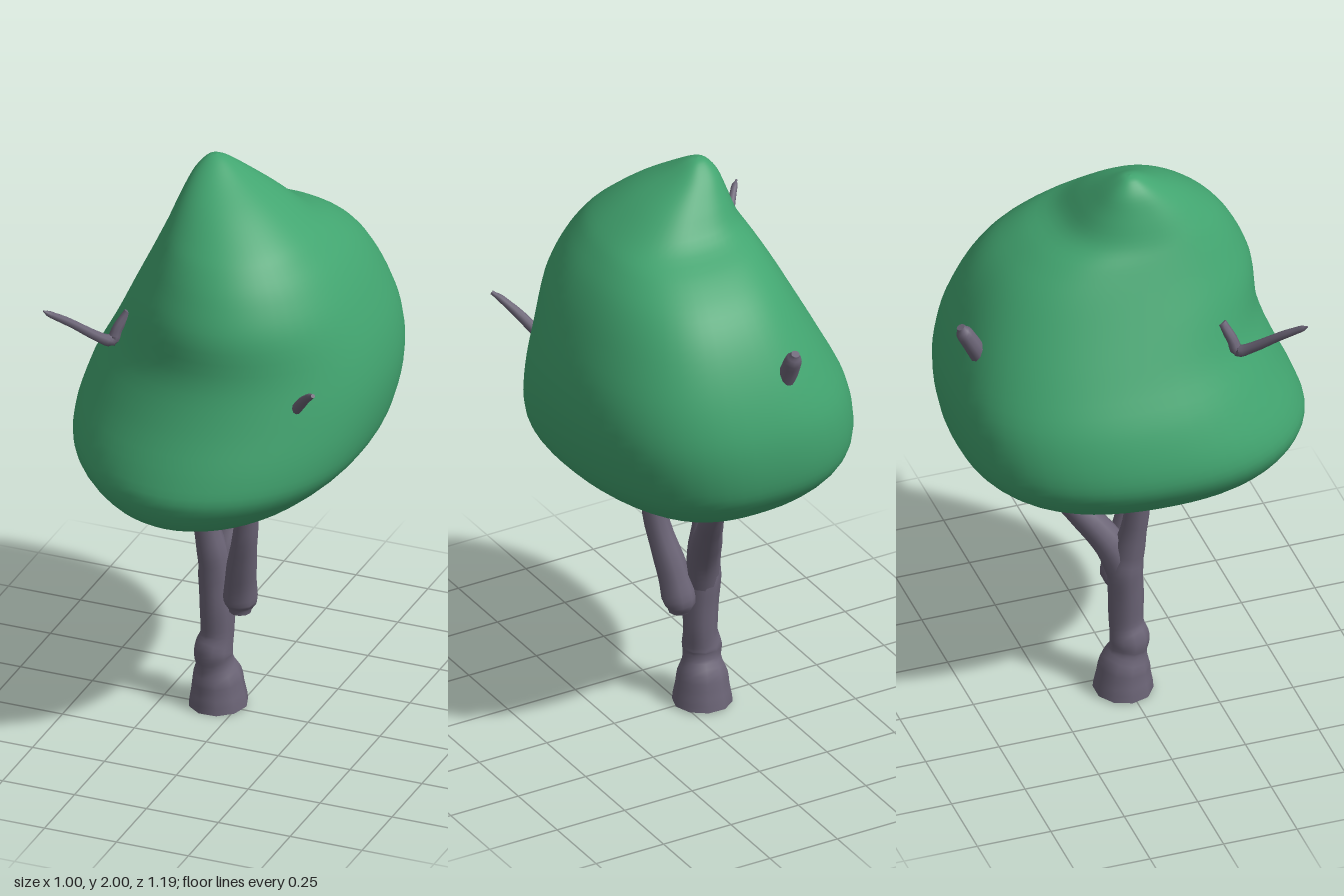
import * as THREE from 'three';

const leafGreen = new THREE.MeshStandardMaterial({ color: 0x42a570 });
leafGreen.name = 'leafGreen';
const barkGrey = new THREE.MeshStandardMaterial({ color: 0x6b6476 });
barkGrey.name = 'barkGrey';

// Smooth skin through rings of points (ordered from bottom to top), with end caps
function loft(rings, capped) {
  const n = rings[0].length, pos = [], idx = [];
  rings.forEach(r => r.forEach(p => pos.push(p.x, p.y, p.z)));
  for (let i = 0; i < rings.length - 1; i++) {
    for (let j = 0; j < n; j++) {
      const k = (j + 1) % n, a = i * n, b = a + n;
      idx.push(a + j, b + j, a + k, a + k, b + j, b + k);
    }
  }
  const cap = (ring, top) => {
    const c = pos.length / 3;
    const mid = ring.reduce((s, p) => s.add(p), new THREE.Vector3()).divideScalar(n);
    [mid, ...ring].forEach(p => pos.push(p.x, p.y, p.z));
    for (let j = 0; j < n; j++) {
      const a = c + 1 + j, b = c + 1 + (j + 1) % n;
      idx.push(c, ...(top ? [b, a] : [a, b]));
    }
  };
  if (capped) {
    cap(rings[0], false);
    cap(rings[rings.length - 1], true);
  }
  const g = new THREE.BufferGeometry();
  g.setAttribute('position', new THREE.Float32BufferAttribute(pos, 3));
  g.setIndex(idx);
  g.computeVertexNormals();
  return g;
}

// Tapered limb along a curve; each stop is [x, y, z, radius]
function limb(name, stops, sides = 10) {
  const path = new THREE.CatmullRomCurve3(stops.map(s => new THREE.Vector3(s[0], s[1], s[2])), false, 'catmullrom', 0.5);
  const last = stops.length - 1, steps = last * 4, rings = [];
  for (let i = 0; i <= steps; i++) {
    const t = i / steps, f = t * last, k = Math.min(Math.floor(f), last - 1);
    const r = THREE.MathUtils.lerp(stops[k][3], stops[k + 1][3], THREE.MathUtils.smoothstep(f - k, 0, 1));
    const c = path.getPoint(t), T = path.getTangent(t);
    const u = new THREE.Vector3(1, 0, 0).addScaledVector(T, -T.x).normalize();
    const v = u.clone().cross(T);
    rings.push(Array.from({ length: sides }, (_, j) => {
      const a = j / sides * Math.PI * 2;
      return c.clone().addScaledVector(u, r * Math.cos(a)).addScaledVector(v, r * Math.sin(a));
    }));
  }
  const mesh = new THREE.Mesh(loft(rings, true), barkGrey);
  mesh.name = name;
  return mesh;
}

// Lopsided crown; each row is [y, xMin, xMax, zBack, zFront]
function crown() {
  const rows = [
    [0.80, -0.05, -0.05, 0.02, 0.02],
    [0.815, -0.18, 0.10, -0.13, 0.22],
    [0.85, -0.28, 0.21, -0.30, 0.41],
    [0.90, -0.38, 0.31, -0.42, 0.53],
    [1.00, -0.475, 0.425, -0.535, 0.595],
    [1.10, -0.50, 0.475, -0.58, 0.575],
    [1.25, -0.465, 0.497, -0.592, 0.51],
    [1.40, -0.39, 0.48, -0.56, 0.46],
    [1.55, -0.315, 0.43, -0.495, 0.448],
    [1.66, -0.26, 0.375, -0.415, 0.405],
    [1.74, -0.22, 0.315, -0.31, 0.355],
    [1.80, -0.19, 0.255, -0.195, 0.30],
    [1.88, -0.16, 0.15, -0.125, 0.21],
    [1.95, -0.13, 0.035, -0.065, 0.11],
    [1.99, -0.095, -0.03, -0.02, 0.045],
    [2.00, -0.065, -0.065, 0.01, 0.01],
  ];
  const curve = (a, b) => new THREE.CatmullRomCurve3(
    rows.map(r => new THREE.Vector3(r[a], r[0], r[b])), false, 'catmullrom', 0.5);
  const wide = curve(1, 2), deep = curve(3, 4);
  const steps = (rows.length - 1) * 4, sides = 56, rings = [];
  for (let i = 0; i <= steps; i++) {
    const w = wide.getPoint(i / steps), d = deep.getPoint(i / steps);
    rings.push(Array.from({ length: sides }, (_, j) => {
      const a = j / sides * Math.PI * 2, c = Math.cos(a), s = Math.sin(a);
      // squarer towards the back, rounder at the front
      const n = 2.25 - 0.25 * Math.sin(a);
      const k = Math.pow(Math.abs(c) ** n + Math.abs(s) ** n, -1 / n);
      return new THREE.Vector3(
        (w.x + w.z) / 2 + k * c * (w.z - w.x) / 2, w.y,
        (d.x + d.z) / 2 + k * s * (d.z - d.x) / 2);
    }));
  }
  const mesh = new THREE.Mesh(loft(rings, false), leafGreen);
  mesh.name = 'crown';
  return mesh;
}

export function createModel() {
  const tree = new THREE.Group();
  tree.name = 'tree';
  tree.add(
    crown(),
    // Flared, knobbly trunk that runs into the right limb and out of the crown
    limb('trunk', [
      [-0.068, 0, -0.015, 0.098], [-0.07, 0.09, -0.012, 0.085], [-0.075, 0.16, 0, 0.062],
      [-0.077, 0.20, 0.004, 0.065], [-0.067, 0.26, -0.004, 0.056], [-0.068, 0.36, -0.005, 0.058],
      [-0.075, 0.46, -0.01, 0.058], [-0.08, 0.54, 0, 0.052], [-0.1, 0.66, 0.015, 0.042],
      [-0.12, 0.82, 0.035, 0.038], [-0.17, 1.05, 0.1, 0.03],
    ]),
    limb('rightTwig', [
      [-0.27, 1.50, 0.25, 0.016], [-0.297, 1.45, 0.275, 0.018], [-0.312, 1.41, 0.29, 0.021],
      [-0.345, 1.435, 0.33, 0.017], [-0.41, 1.505, 0.40, 0.014], [-0.455, 1.55, 0.452, 0.011],
      [-0.475, 1.568, 0.47, 0.003],
    ], 8),
    // Front limb with a bulging foot
    limb('leftLimb', [
      [0.012, 0.35, -0.005, 0.036], [0.012, 0.40, -0.005, 0.058], [0.025, 0.50, 0.02, 0.052],
      [0.055, 0.65, 0.06, 0.043], [0.088, 0.84, 0.09, 0.035], [0.2, 1.1, 0.2, 0.026],
      [0.36, 1.33, 0.345, 0.018], [0.42, 1.405, 0.41, 0.013], [0.45, 1.432, 0.44, 0.007],
    ]),
    // Back limb sweeping outwards
    limb('backLimb', [
      [-0.07, 0.42, -0.01, 0.05], [-0.055, 0.54, -0.045, 0.055], [-0.03, 0.64, -0.11, 0.05],
      [0.01, 0.75, -0.2, 0.042], [0.045, 0.86, -0.29, 0.036], [0.04, 1.05, -0.38, 0.033],
      [-0.06, 1.3, -0.45, 0.032], [-0.09, 1.44, -0.515, 0.032], [-0.09, 1.52, -0.558, 0.029],
      [-0.09, 1.555, -0.575, 0.014],
    ]),
  );
  return tree;
}
